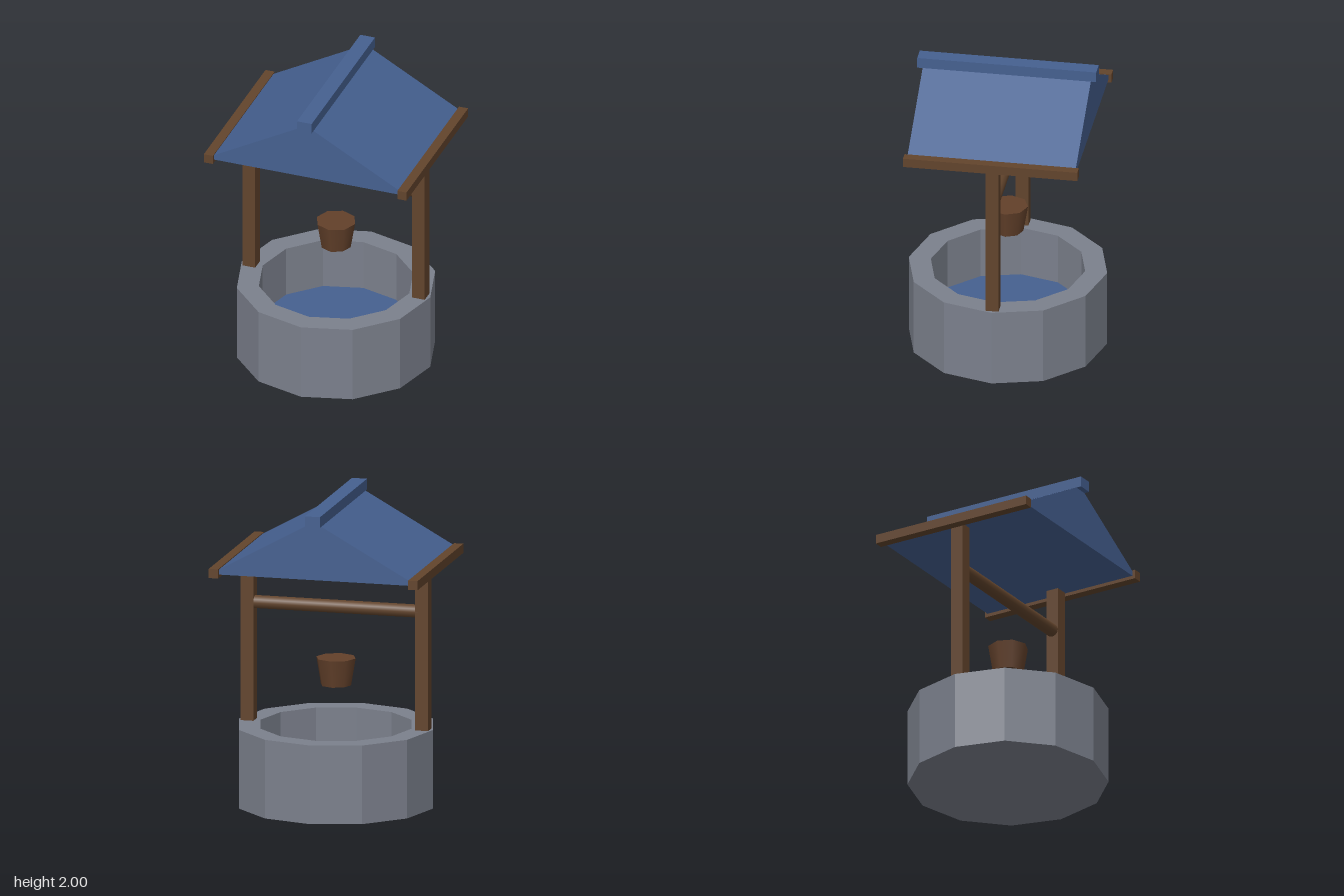
import * as THREE from 'three';

const material = (name, color, opts = {}) => {
  const m = new THREE.MeshStandardMaterial({ color, ...opts });
  m.name = name;
  return m;
};

export function createModel() {
  const stone = material('stone', 0x7b808c, { flatShading: true });
  const wood = material('wood', 0x62442c);
  const bucketWood = material('bucketWood', 0x62402a);
  const blue = material('blue', 0x456090);

  const model = new THREE.Group();
  model.name = 'well';
  const add = (name, geometry, mat, x = 0, y = 0, z = 0) => {
    const mesh = new THREE.Mesh(geometry, mat);
    mesh.name = name;
    mesh.position.set(x, y, z);
    model.add(mesh);
    return mesh;
  };

  // Twelve-sided stone basin: floor, outer wall, rim, inner wall
  const waterY = 0.175, wallTop = 0.515, outerR = 0.643, innerR = 0.5;
  const profile = [
    [0, 0], [outerR, 0], [outerR, wallTop], [innerR, wallTop], [innerR, waterY - 0.02],
  ].map(([r, y]) => new THREE.Vector2(r, y));
  add('basin', new THREE.LatheGeometry(profile, 12), stone);

  // Water surface
  add('water', new THREE.CircleGeometry(innerR, 12).rotateX(-Math.PI / 2), blue, 0, waterY);

  // Posts on the rim and the beams along the eaves
  for (const [side, s] of [['left', 1], ['right', -1]]) {
    add(side + 'Post', new THREE.BoxGeometry(0.085, 1.1, 0.085), wood, s * 0.578, 1.055);
    add(side + 'EaveBeam', new THREE.BoxGeometry(0.062, 0.06, 1.13), wood, s * 0.66, 1.585);
  }

  // Axle between the posts
  add('axle', new THREE.CylinderGeometry(0.043, 0.043, 1.1, 12).rotateZ(Math.PI / 2), wood, 0, 1.288);

  // Hanging bucket
  add('bucket', new THREE.CylinderGeometry(0.13, 0.1, 0.178, 8), bucketWood, 0, 0.864);

  // Solid gable roof with a ridge cap
  const gable = new THREE.Shape();
  gable.moveTo(-0.688, 1.577);
  gable.lineTo(0.688, 1.577);
  gable.lineTo(0, 1.957);
  gable.closePath();
  const roof = new THREE.ExtrudeGeometry(gable, { depth: 1.09, bevelEnabled: false });
  add('roof', roof, blue, 0, 0, -0.545);
  add('ridgeCap', new THREE.BoxGeometry(0.1, 0.07, 1.16), blue, 0, 1.965);

  return model;
}
